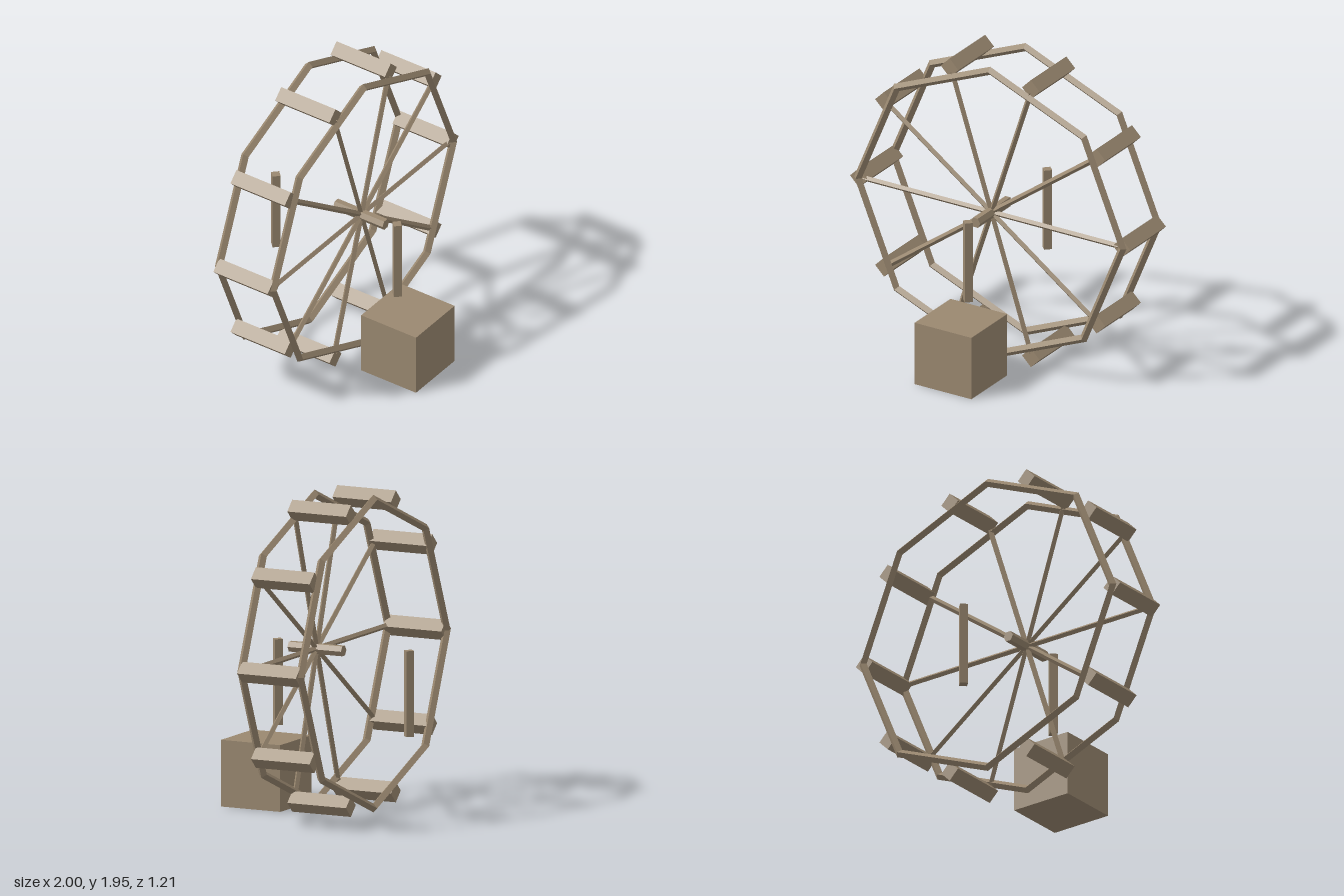
import * as THREE from 'three';

const HUB_Y = 0.98;      // height of the wheel axis
const WHEEL_Z = -0.127;  // middle of the wheel's depth
const SPOKES = 10;

export function createModel() {
  const model = new THREE.Group();
  const wood = new THREE.MeshStandardMaterial({ color: 0x9a8870, flatShading: true });

  function add(name, geometry, x, y, z, parent = model) {
    const mesh = new THREE.Mesh(geometry, wood);
    mesh.name = name;
    mesh.position.set(x, y, z);
    parent.add(mesh);
    return mesh;
  }

  const wheel = new THREE.Group();
  wheel.name = 'wheel';
  wheel.position.y = HUB_Y;
  model.add(wheel);

  // Eight-sided rims with a diamond section
  const rim = new THREE.TorusGeometry(0.944, 0.027, 4, 8);
  add('frontRim', rim, 0, 0, WHEEL_Z + 0.2, wheel);
  add('backRim', rim, 0, 0, WHEEL_Z - 0.2, wheel);

  // Six-sided axle, flat on top
  const axle = new THREE.CylinderGeometry(0.035, 0.035, 0.365, 6, 1, false, Math.PI / 2);
  axle.rotateX(Math.PI / 2);
  add('axle', axle, 0, 0, 0.058, wheel);

  // Spokes run outward in the front plane; paddles stay upright and bridge the rims
  const spoke = new THREE.CylinderGeometry(0.018, 0.018, 0.91, 4);
  spoke.translate(0, 0.455, 0);
  const paddle = new THREE.CylinderGeometry(0.063, 0.063, 0.4, 4);
  paddle.rotateX(Math.PI / 2);
  for (let i = 0; i < SPOKES; i++) {
    const a = (i / SPOKES) * Math.PI * 2;
    add('spoke', spoke, 0, 0, 0.06, wheel).rotation.z = a - Math.PI / 2;
    add('paddle', paddle, 0.937 * Math.cos(a), 0.937 * Math.sin(a), WHEEL_Z, wheel);
  }

  // Posts in front of and behind the wheel
  const post = new THREE.CylinderGeometry(0.035, 0.035, 0.525, 4);
  add('frontPost', post, 0, 0.757, 0.324, model);
  add('backPost', post, 0, 0.757, -0.57, model);

  // Block standing in front of the wheel
  add('block', new THREE.BoxGeometry(0.404, 0.408, 0.404), 0, 0.204, 0.403);

  return model;
}
